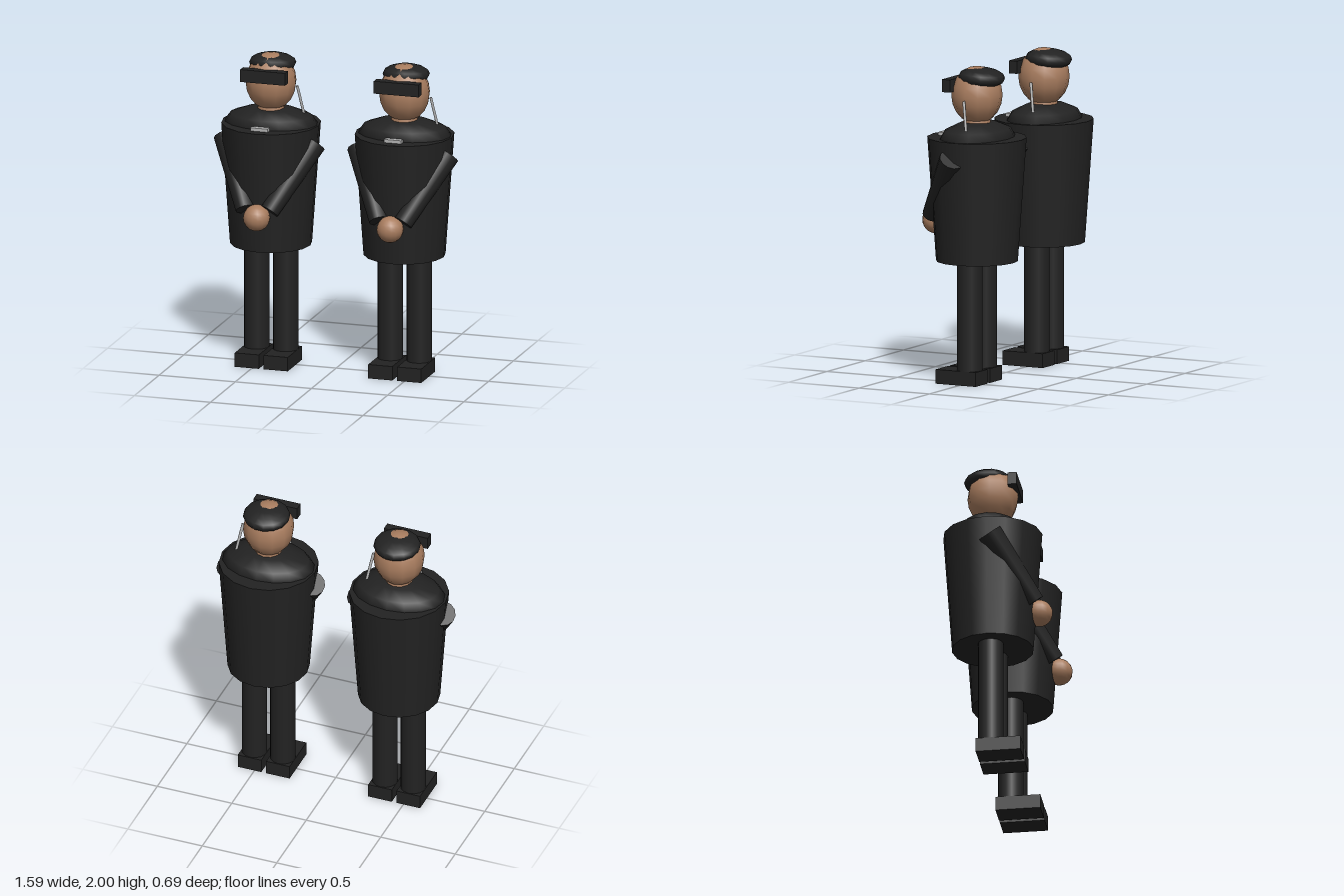
import * as THREE from 'three';

const material = (name, color) => {
  const m = new THREE.MeshStandardMaterial({ color });
  m.name = name;
  return m;
};

export function createModel() {
  const black = material('black cloth', 0x222222);
  const skin = material('skin', 0xa97d5f);
  const silver = material('silver', 0xb4b4b4);
  const axisZ = -0.032; // body axis sits slightly behind the origin

  function add(parent, name, geometry, mat, x, y, z) {
    const mesh = new THREE.Mesh(geometry, mat);
    mesh.name = name;
    mesh.position.set(x, y, z);
    parent.add(mesh);
    return mesh;
  }

  // Tapered cylinder running between two points
  function limb(parent, name, from, to, rFrom, rTo, sides, mat) {
    const a = new THREE.Vector3(...from), b = new THREE.Vector3(...to);
    const dir = b.clone().sub(a);
    const mid = a.clone().add(b).multiplyScalar(0.5);
    const geo = new THREE.CylinderGeometry(rTo, rFrom, dir.length(), sides);
    const mesh = add(parent, name, geo, mat, mid.x, mid.y, mid.z);
    mesh.quaternion.setFromUnitVectors(new THREE.Vector3(0, 1, 0), dir.normalize());
    return mesh;
  }

  function ellipsoid(rx, ry, rz, w, h) {
    return new THREE.SphereGeometry(1, w, h).scale(rx, ry, rz);
  }

  function createGuard() {
    const guard = new THREE.Group();
    guard.name = 'guard';

    // Coat and rounded shoulders
    add(guard, 'torso', new THREE.CylinderGeometry(0.312, 0.257, 0.78, 16), black, 0, 1.16, axisZ);
    add(guard, 'shoulders', ellipsoid(0.303, 0.11, 0.218, 16, 6), black, 0, 1.545, -0.036);
    add(guard, 'badge', new THREE.BoxGeometry(0.112, 0.025, 0.037), silver, 0, 1.558, 0.194);

    // Neck, head, cap and dark glasses
    add(guard, 'neck', new THREE.CylinderGeometry(0.07, 0.09, 0.1, 12), skin, 0, 1.675, axisZ);
    add(guard, 'head', ellipsoid(0.162, 0.183, 0.16, 12, 10), skin, 0, 1.815, axisZ);
    const cap = add(guard, 'cap', ellipsoid(0.149, 0.062, 0.147, 14, 8), black, 0, 1.929, -0.066);
    cap.rotation.x = -0.07;
    add(guard, 'glasses', new THREE.BoxGeometry(0.294, 0.08, 0.058), black, 0, 1.88, 0.109);

    // Earpiece cable
    limb(guard, 'earpieceCable', [0.205, 1.61, -0.066], [0.172, 1.797, -0.032], 0.009, 0.009, 8, silver);

    // Arms meeting at the clasped hands, legs and shoes
    for (const side of [1, -1]) {
      limb(guard, 'arm', [side * 0.287, 1.445, -0.012], [side * 0.08, 1.05, 0.245], 0.08, 0.06, 12, black);
      add(guard, 'leg', new THREE.CylinderGeometry(0.08, 0.08, 0.78, 14), black, side * 0.095, 0.39, axisZ);
      add(guard, 'shoe', new THREE.BoxGeometry(0.158, 0.09, 0.283), black, side * 0.095, 0.045, 0.025);
    }
    add(guard, 'hands', new THREE.SphereGeometry(0.084, 16, 12), skin, 0, 1.005, 0.261);
    return guard;
  }

  // Two matching guards side by side
  const model = new THREE.Group();
  model.name = 'guards';
  for (const x of [-0.438, 0.438]) {
    const guard = createGuard();
    guard.position.x = x;
    model.add(guard);
  }
  return model;
}
